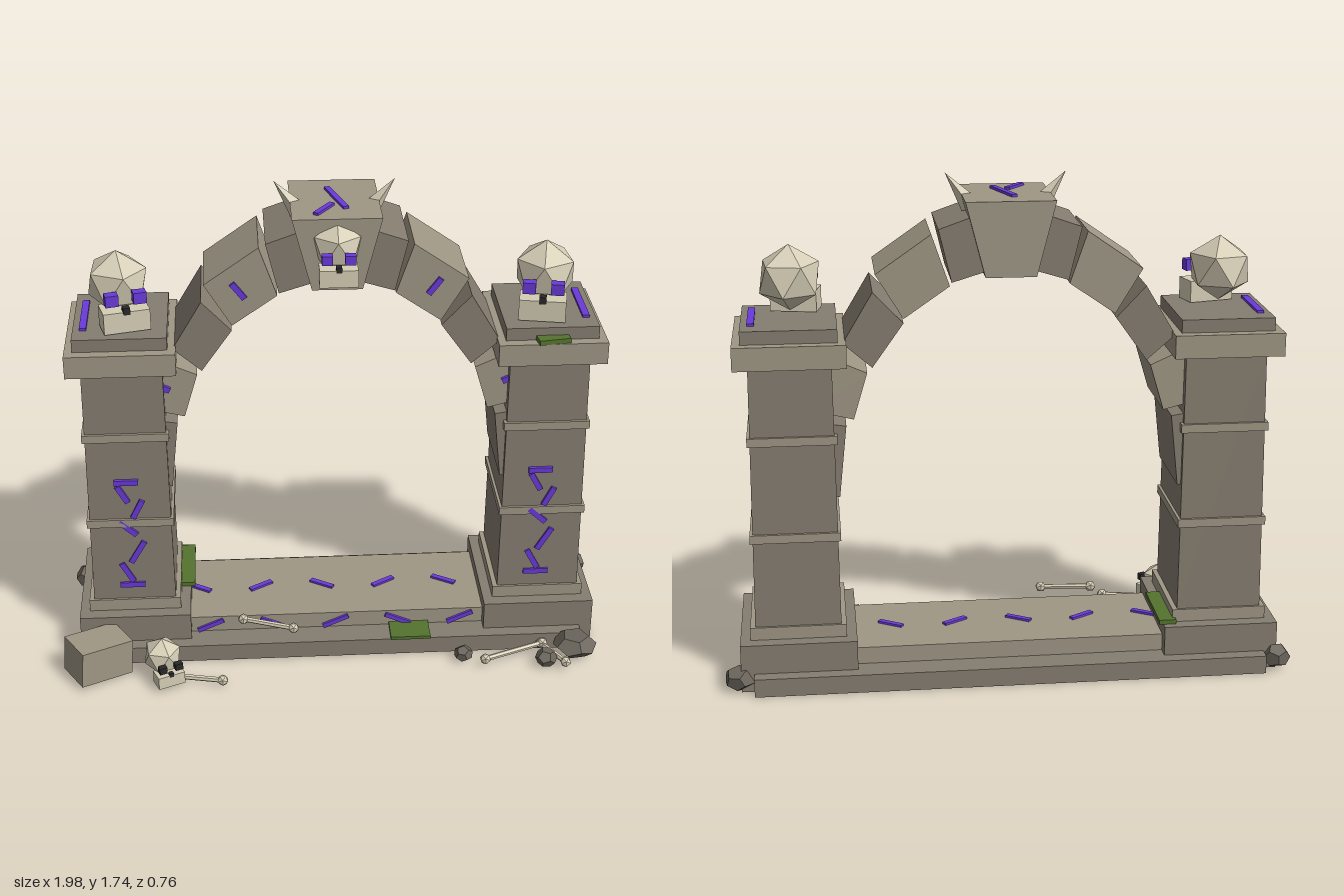
import * as THREE from 'three';

const mat = (color) => new THREE.MeshStandardMaterial({ color, flatShading: true });

export function createModel() {
  const root = new THREE.Group();
  const stone = mat(0x857d70), light = mat(0x9f9785), dark = mat(0x6a645b);
  const bone = mat(0xd6ceb6), rune = mat(0x6a3ad8), moss = mat(0x55742f), black = mat(0x2a2828);
  const Z = -0.09; // depth centre of the gateway

  const add = (name, geo, material, x = 0, y = 0, z = 0, parent = root) => {
    const m = new THREE.Mesh(geo, material);
    m.name = name;
    m.position.set(x, y, z);
    parent.add(m);
    return m;
  };
  // box given by its centre, bottom and size
  const block = (name, material, x, y0, z, w, h, d, parent) =>
    add(name, new THREE.BoxGeometry(w, h, d), material, x, y0 + h / 2, z, parent);
  // four-cornered stone extruded through the depth
  const wedge = (name, material, pts, d) => {
    const shape = new THREE.Shape(pts.map(([x, y]) => new THREE.Vector2(x, y)));
    const geo = new THREE.ExtrudeGeometry(shape, { depth: d, bevelEnabled: false });
    return add(name, geo, material, 0, 0, Z - d / 2);
  };
  // glowing strokes, upright on a face or lying on a top
  const strokeUp = (x1, y1, x2, y2, z, w = 0.02) => {
    const geo = new THREE.BoxGeometry(Math.hypot(x2 - x1, y2 - y1), w, 0.02);
    add('runeStroke', geo, rune, (x1 + x2) / 2, (y1 + y2) / 2, z).rotation.z = Math.atan2(y2 - y1, x2 - x1);
  };
  const strokeFlat = (x1, z1, x2, z2, y, w = 0.02) => {
    const geo = new THREE.BoxGeometry(Math.hypot(x2 - x1, z2 - z1), 0.012, w);
    add('runeStroke', geo, rune, (x1 + x2) / 2, y, (z1 + z2) / 2).rotation.y = -Math.atan2(z2 - z1, x2 - x1);
  };

  // threshold
  block('lowerSlab', stone, 0, 0, Z, 1.78, 0.065, 0.57);
  block('upperStep', light, 0, 0.065, Z, 1.14, 0.06, 0.38);
  for (let i = 0; i < 5; i++) {
    const x = -0.465 + i * 0.229, s = i % 2 ? -1 : 1;
    strokeUp(x - 0.046, 0.092 - s * 0.02, x + 0.046, 0.092 + s * 0.02, 0.1, 0.016);
    strokeFlat(x - 0.08, Z - s * 0.025, x, Z + s * 0.025, 0.127);
  }

  // pillars
  const glyph = [
    [-0.785, 0.70, -0.70, 0.70], [-0.775, 0.685, -0.74, 0.62], [-0.69, 0.625, -0.725, 0.555],
    [-0.775, 0.54, -0.715, 0.485], [-0.69, 0.455, -0.74, 0.37], [-0.775, 0.365, -0.735, 0.29],
    [-0.785, 0.275, -0.695, 0.275],
  ];
  for (const s of [-1, 1]) {
    const x = 0.735 * s;
    block('pillarBase', stone, x, 0, Z, 0.40, 0.17, 0.475);
    block('baseCollar', light, x, 0.17, Z, 0.33, 0.045, 0.38);
    const shaft = new THREE.BoxGeometry(0.295, 0.92, 0.362);
    const p = shaft.attributes.position;
    for (let i = 0; i < p.count; i++)
      if (p.getY(i) > 0) p.setXYZ(i, p.getX(i) * 0.94, p.getY(i), p.getZ(i) * 0.95);
    add('pillarShaft', shaft, stone, x, 0.675, Z);
    block('lowerBand', light, x, 0.52, Z, 0.308, 0.03, 0.376);
    block('upperBand', light, x, 0.862, Z, 0.302, 0.03, 0.37);
    block('capital', light, x, 1.135, Z, 0.375, 0.08, 0.45);
    block('capitalTop', stone, x, 1.215, Z, 0.32, 0.045, 0.375);
    strokeFlat(0.86 * s, -0.205, 0.86 * s, 0.025, 1.263, 0.024);
    for (const [a, b, c, d] of glyph) {
      const o = s > 0 ? 1.465 : 0;
      strokeUp(a + o, b, c + o, d, 0.088);
    }
  }

  // arch stones, from beside the keystone down to the springing
  const voussoirs = [
    [[0.09, 1.63], [0.238, 1.578], [0.195, 1.40], [0.08, 1.435]],
    [[0.26, 1.56], [0.447, 1.43], [0.355, 1.278], [0.20, 1.385]],
    [[0.457, 1.374], [0.559, 1.203], [0.462, 1.118], [0.356, 1.267]],
    [[0.60, 1.15], [0.66, 0.97], [0.527, 0.936], [0.479, 1.096]],
    [[0.69, 0.94], [0.72, 0.69], [0.58, 0.668], [0.553, 0.918]],
  ];
  for (const s of [-1, 1]) {
    voussoirs.forEach((q, i) => wedge('archStone', i % 2 ? light : stone,
      q.map(([x, y]) => [x * s, y]), i % 2 ? 0.285 : 0.315));
    strokeUp(0.352 * s, 1.435, 0.31 * s, 1.38, 0.053);
    strokeUp(0.615 * s, 1.06, 0.575 * s, 1.042, 0.055);
    // horn
    const horn = add('horn', new THREE.ConeGeometry(0.037, 0.15, 4), bone, 0.158 * s, 1.68, Z);
    horn.rotation.z = -0.65 * s;
  }
  wedge('keystone', light, [[-0.15, 1.67], [0.15, 1.67], [0.085, 1.418], [-0.085, 1.418]], 0.36);
  strokeFlat(-0.02, -0.185, 0.035, 0, 1.673);
  strokeFlat(-0.07, 0.05, -0.01, -0.04, 1.673);

  // skulls: faceted cranium with one corner up, jaw, eyes and nose
  const skull = (name, x, y, z, scale, turn, eyeMat) => {
    const g = new THREE.Group();
    g.name = name;
    const geo = new THREE.IcosahedronGeometry(0.113, 0);
    geo.rotateZ(Math.atan(2 / (1 + Math.sqrt(5)))).rotateY(Math.PI / 2).scale(1, 1, 1.08);
    add('cranium', geo, bone, 0, 0, 0, g);
    block('jaw', bone, 0, -0.13, 0.095, 0.16, 0.075, 0.09, g);
    for (const s of [-1, 1]) block('eye', eyeMat, 0.048 * s, -0.03, 0.125, 0.045, 0.04, 0.035, g);
    block('nose', black, 0, -0.065, 0.13, 0.024, 0.025, 0.025, g);
    g.position.set(x, y, z);
    g.rotation.y = turn;
    g.scale.setScalar(scale);
    root.add(g);
  };
  skull('rightPillarSkull', -0.74, 1.395, -0.08, 1, 0.25, rune);
  skull('leftPillarSkull', 0.728, 1.395, -0.08, 1, -0.2, rune);
  skull('keystoneSkull', 0, 1.57, 0.07, 0.8, 0, rune);
  skull('fallenSkull', -0.638, 0.097, 0.285, 0.62, 0.4, black);

  // moss patches
  block('moss', moss, 0.262, 0.064, 0.15, 0.145, 0.012, 0.1);
  block('moss', moss, 0.735, 1.215, 0.11, 0.11, 0.017, 0.05).rotation.y = 0.15;
  block('moss', moss, -0.55, 0.17, -0.17, 0.06, 0.016, 0.26);

  // fallen block and rocks
  block('fallenBlock', light, -0.868, 0.012, 0.245, 0.2, 0.135, 0.14).rotation.set(0, 0.54, -0.08);
  const rocks = [
    [-0.935, 0.045, -0.325, 0.052], [0.94, 0.045, -0.305, 0.056], [0.86, 0.045, 0.235, 0.08],
    [0.745, 0.035, 0.3, 0.04], [0.45, 0.03, 0.25, 0.035],
  ];
  rocks.forEach(([x, y, z, r], i) => {
    const geo = new THREE.DodecahedronGeometry(r, 0).rotateX(i * 1.3).rotateY(i * 0.7);
    add('rock', geo.scale(1, Math.min(1, y / r), 1), dark, x, y, z);
  });

  // scattered bones
  const bones = [
    [-0.345, 0.142, 0.145, -0.165, 0.128, 0.193], [-0.58, 0.022, 0.315, -0.425, 0.022, 0.348],
    [0.525, 0.03, 0.29, 0.745, 0.035, 0.21], [0.74, 0.03, 0.205, 0.812, 0.03, 0.325],
  ];
  for (const [x1, y1, z1, x2, y2, z2] of bones) {
    const a = new THREE.Vector3(x1, y1, z1), b = new THREE.Vector3(x2, y2, z2);
    const dir = b.clone().sub(a), mid = a.clone().add(b).multiplyScalar(0.5);
    const shaft = add('boneShaft', new THREE.CylinderGeometry(0.01, 0.01, dir.length(), 6), bone, mid.x, mid.y, mid.z);
    shaft.quaternion.setFromUnitVectors(new THREE.Vector3(0, 1, 0), dir.normalize());
    for (const e of [a, b]) add('boneKnob', new THREE.IcosahedronGeometry(0.021, 0), bone, e.x, e.y, e.z);
  }
  return root;
}
